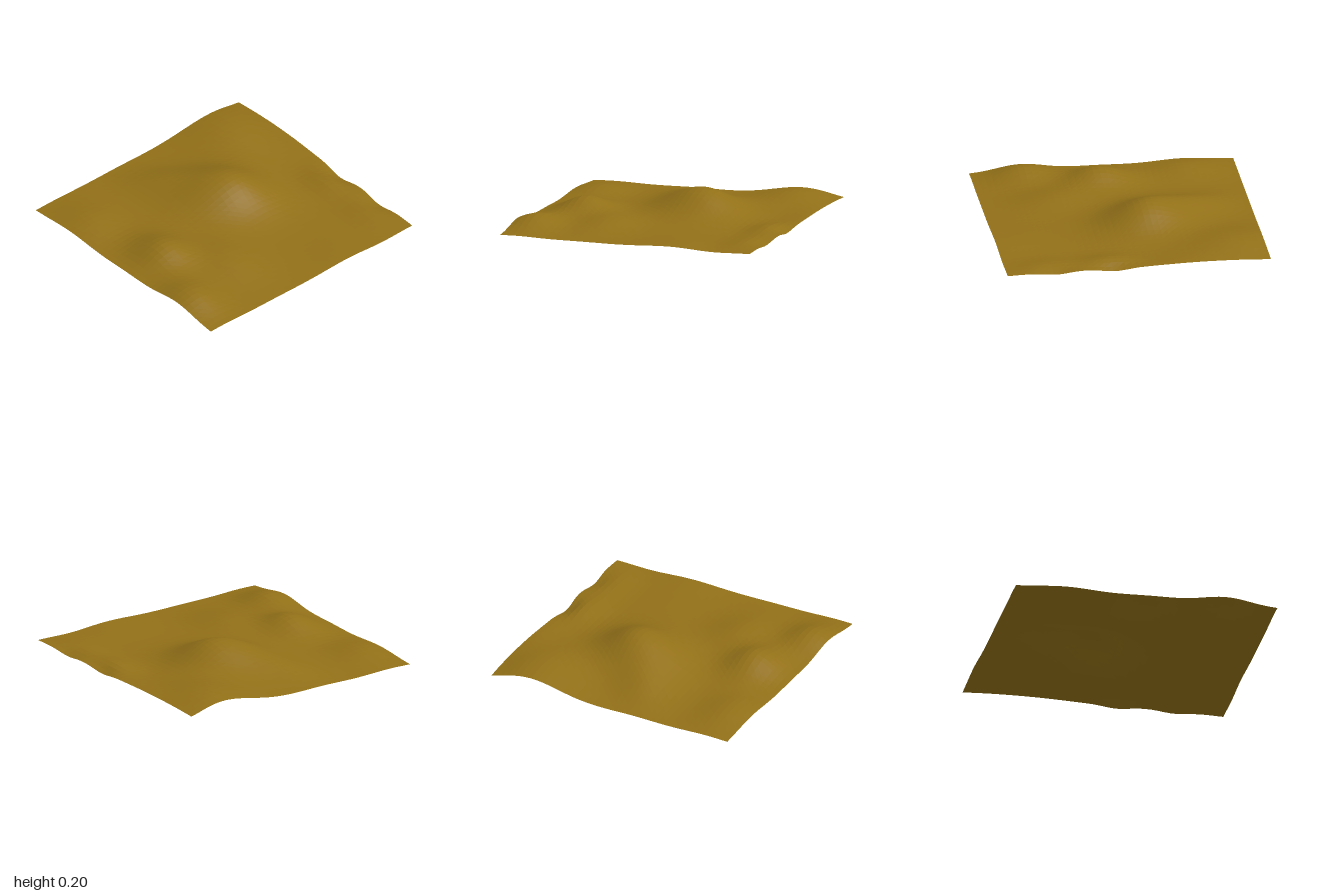
import * as THREE from 'three';

// Hills and dips: centre x, z, height, spread along, spread across, turn of the long axis
const HILLS = [
  [-0.22, -0.12, 0.185, 0.26, 0.21, 0.6], // main hill
  [-0.64, 0.12, 0.045, 0.18, 0.13, 0.5], // its left shoulder
  [0.05, 0.68, 0.122, 0.18, 0.145, 0],
  [0.6, 0.86, 0.093, 0.18, 0.14, 0],
  [-0.81, -0.65, 0.1, 0.32, 0.23, 0],
  [0.43, 0.37, 0.055, 0.22, 0.16, 0],
  [-0.62, 0.82, 0.055, 0.2, 0.15, 0],
  [0.2, -0.82, 0.045, 0.14, 0.09, 0],
  [0.65, -0.82, 0.03, 0.18, 0.1, 0],
  [-0.35, -0.95, 0.02, 0.25, 0.15, 0],
  [1.0, -0.35, 0.02, 0.3, 0.2, 0],
  [0.4, -1.0, 0.025, 0.6, 0.12, 0], // rise along the back edge
  [0.18, -1.0, -0.035, 0.1, 0.1, 0], // dips in the back edge
  [0.62, -1.0, -0.03, 0.1, 0.1, 0],
  [-0.1, 0.05, 0.025, 0.65, 0.55, 0], // broad swell of the ground
];

function heightAt(x, z) {
  let h = 0;
  for (const [cx, cz, amp, along, across, turn] of HILLS) {
    const dx = x - cx, dz = z - cz;
    const u = (dx * Math.cos(turn) - dz * Math.sin(turn)) / along;
    const v = (dx * Math.sin(turn) + dz * Math.cos(turn)) / across;
    h += amp * Math.exp(-0.5 * (u * u + v * v));
  }
  return h;
}

export function createModel() {
  const group = new THREE.Group();
  group.name = 'terrain';

  // Rolling ground sheet, its hills leaning slightly to the side and back
  const geometry = new THREE.PlaneGeometry(1.99, 1.975, 40, 40);
  geometry.rotateX(-Math.PI / 2);
  geometry.translate(-0.005, 0, 0.0125);
  const pos = geometry.attributes.position;
  for (let i = 0; i < pos.count; i++) {
    const x = pos.getX(i), z = pos.getZ(i);
    const h = heightAt(x, z);
    pos.setXYZ(i, x + 0.3 * h * (1 - x) / 2, h, z - 0.45 * h * (1 - z) / 2);
  }
  geometry.computeBoundingBox();
  geometry.translate(0, -geometry.boundingBox.min.y, 0);
  geometry.computeVertexNormals();

  const ground = new THREE.Mesh(geometry, new THREE.MeshStandardMaterial({
    color: 0x927018, flatShading: true, side: THREE.DoubleSide,
  }));
  ground.name = 'ground';
  group.add(ground);
  return group;
}
